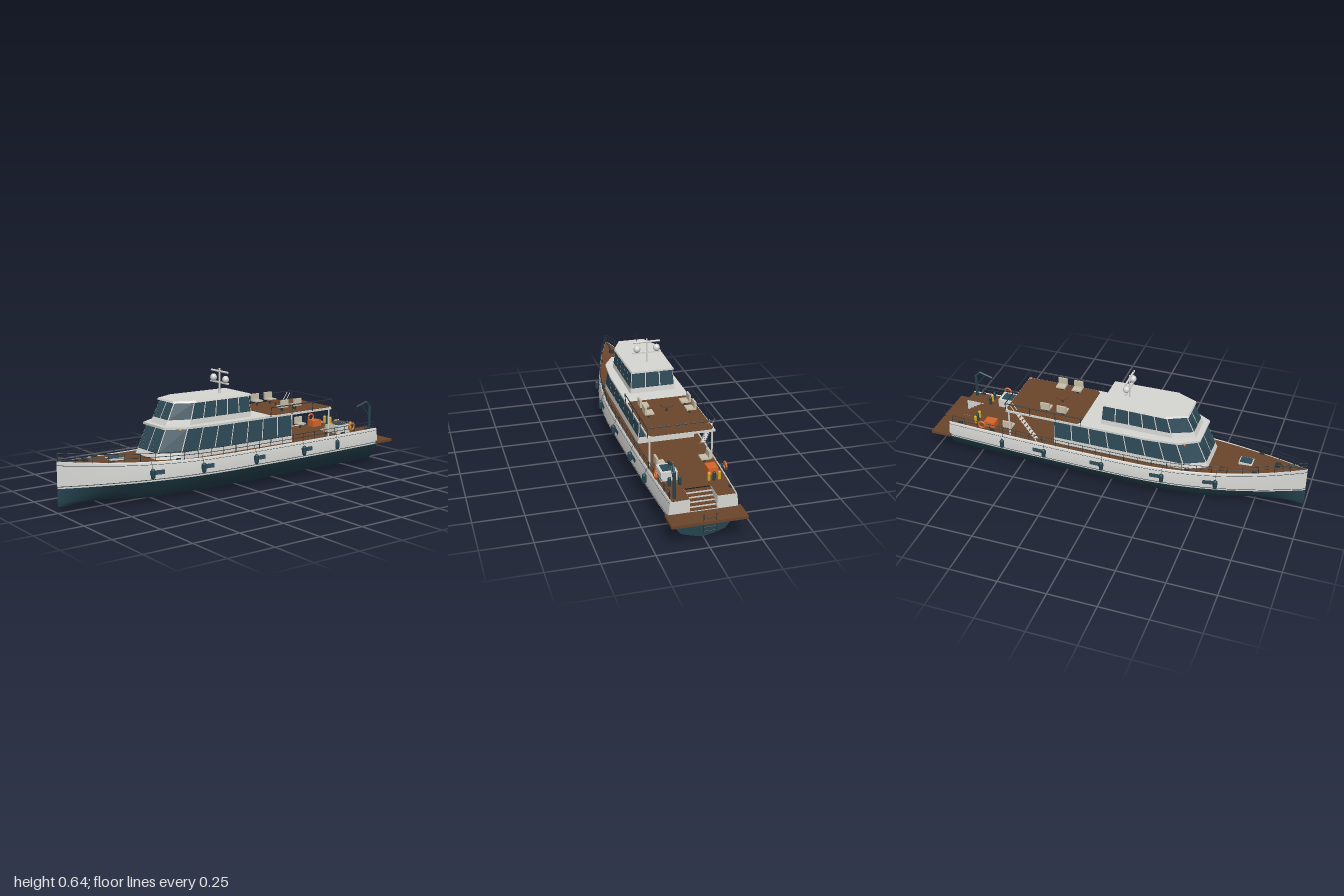
import * as THREE from 'three';

const mat = (name, color, side = THREE.FrontSide) => {
  const m = new THREE.MeshStandardMaterial({ color, side });
  m.name = name;
  return m;
};
const V = (x, y, z) => new THREE.Vector3(x, y, z);

// Hull lines: half breadth, sheer height and keel height along z
const breadth = z => z > 0.1 ? 0.195 * (1 - Math.pow((z - 0.1) / 0.9, 2.1)) + 0.0005 : 0.195 - 0.03 * (0.1 - z) ** 2;
const sheer = z => 0.205 + 0.045 * Math.max(0, (z - 0.2) / 0.8) ** 2;
const keel = z => 0.03 * THREE.MathUtils.smoothstep(z, 0.5, 0.78);
const WL = 0.118;
const topside = (z, y) => breadth(z) * (1 - 0.05 * Math.max(0, (y - WL) / (sheer(z) - WL)) ** 2);

export function createModel() {
  const boat = new THREE.Group();
  boat.name = 'motorYacht';
  const white = mat('white paint', 0xd6d6d3), teal = mat('dark teal', 0x25434f), glass = mat('window glass', 0x2d4b59);
  const teak = mat('teak brown', 0x6b452b), cream = mat('cream cushion', 0xc9c0aa), orange = mat('safety orange', 0xd4652a);
  const yellow = mat('yellow', 0xd2a526), metal = mat('dark rail metal', 0x2c363b);

  const add = (geo, m, name, x = 0, y = 0, z = 0) => {
    const mesh = new THREE.Mesh(geo, m);
    mesh.name = name;
    mesh.position.set(x, y, z);
    boat.add(mesh);
    return mesh;
  };
  const box = (w, h, d, m, name, x, y, z) => add(new THREE.BoxGeometry(w, h, d), m, name, x, y, z);
  const rod = (a, b, r, m, name) => {
    const d = b.clone().sub(a);
    const mesh = add(new THREE.CylinderGeometry(r, r, d.length(), 8), m, name);
    mesh.position.copy(a).addScaledVector(d, 0.5);
    mesh.quaternion.setFromUnitVectors(V(0, 1, 0), d.normalize());
  };
  const path = (pts, r, m, name) => pts.slice(1).forEach((p, i) => rod(pts[i], p, r, m, name));

  // Skin over rows of points
  const loft = (rows, m, name) => {
    const n = rows[0].length, idx = [];
    for (let j = 0; j < rows.length - 1; j++) for (let i = 0; i < n - 1; i++) {
      const a = j * n + i;
      idx.push(a, a + 1, a + n, a + 1, a + n + 1, a + n);
    }
    const g = new THREE.BufferGeometry().setFromPoints(rows.flat());
    g.setIndex(idx);
    g.computeVertexNormals();
    return add(g, m, name);
  };
  const stations = (z0, z1, n) => Array.from({ length: n + 1 }, (_, i) => z0 + (z1 - z0) * i / n);
  const bothSides = (zs, section, m, name) => [1, -1].forEach(s => loft(zs.map(z => {
    const row = section(z).map(([x, y]) => V(s * x, y, z));
    return s > 0 ? row : row.reverse();
  }), m, name));

  // Hull
  const bottom = z => {
    const k = keel(z), f = 1 - 0.25 * THREE.MathUtils.smoothstep(z, 0.3, 1);
    return [[0, 0], [0.33 * f, 0.1], [0.64 * f, 0.24], [0.87 * (1 + f) / 2, 0.64], [1, 1]]
      .map(([x, y]) => [x * breadth(z), k + y * (WL - k)]);
  };
  const side = z => {
    const s = sheer(z), w = breadth(z);
    return [...[0, 0.25, 0.5, 0.75, 0.93].map(t => WL + t * (s - WL)).map(y => [topside(z, y), y]),
      [0.94 * w, s], [0.92 * w, s], [0.91 * w, s - 0.005]];
  };
  const zs = stations(-0.9, 1, 60);
  bothSides(zs, bottom, teal, 'hullBottom');
  bothSides(zs, side, white, 'hullTopsides');
  bothSides(zs, z => [0.126, 0.129].map(y => [topside(z, y) + 0.0015, y]), metal, 'rubbingStripe');
  bothSides(zs, z => [0.84, 0.86].map(t => WL + t * (sheer(z) - WL)).map(y => [topside(z, y) + 0.001, y]), metal, 'sheerLine');

  // Decks and transom
  const deckY = z => sheer(z) - 0.004;
  loft(stations(-0.8, 1, 50).map(z => [1, -1].map(s => V(s * 0.92 * breadth(z), deckY(z), z))), teak, 'mainDeck');
  const wing = [-0.9, -0.8];
  loft(wing.map(z => [V(0.92 * breadth(z), deckY(z), z), V(0.065, deckY(z), z)]), teak, 'sternDeck');
  loft(wing.map(z => [V(-0.065, deckY(z), z), V(-0.92 * breadth(z), deckY(z), z)]), teak, 'sternDeck');
  const cap = (pts, m, name) => {
    const g = new THREE.ShapeGeometry(new THREE.Shape(pts.map(p => new THREE.Vector2(...p))));
    add(g.rotateY(Math.PI), m, name, 0, 0, -0.9);
  };
  const b = bottom(-0.9);
  cap([...b, ...b.slice(1).reverse().map(([x, y]) => [-x, y])], teal, 'transomBottom');
  for (const s of [1, -1]) {
    cap([[0.065, WL], ...side(-0.9), [0.065, deckY(-0.9)]].map(([x, y]) => [s * x, y]), white, 'transomWing');
    box(0.008, 0.083, 0.1, white, 'stairWall', s * 0.068, 0.159, -0.85);
  }
  for (let i = 0; i < 5; i++) {
    const y = 0.14 + i * 0.013, d = 0.1 - i * 0.02;
    box(0.13, y - WL, d, white, 'sternStep', 0, (y + WL) / 2, -0.8 - d / 2);
    box(0.13, 0.004, 0.021, teak, 'sternTread', 0, y + 0.002, -0.89 + i * 0.02);
  }
  box(0.36, 0.014, 0.11, teak, 'swimPlatform', 0, 0.128, -0.945);
  for (const x of [-0.03, 0.03]) rod(V(x, 0.075, -0.994), V(x, 0.17, -0.994), 0.002, metal, 'swimLadderRail');
  for (const y of [0.085, 0.105, 0.15]) rod(V(-0.03, y, -0.994), V(0.03, y, -0.994), 0.002, metal, 'swimLadderRung');

  // Tapered cabin block from half outlines, listed aft to front
  const outline = (half, y) => [...half, ...half.slice().reverse().map(([x, z]) => [-x, z])].map(([x, z]) => V(x, y, z));
  const polys = (tris, m, name) => {
    const g = new THREE.BufferGeometry().setFromPoints(tris);
    g.computeVertexNormals();
    return add(g, m, name);
  };
  const prism = (lo, y0, hi, y1, m, name) => {
    const A = outline(lo, y0), B = outline(hi, y1), t = [], n = A.length;
    for (let i = 0; i < n; i++) {
      const j = (i + 1) % n;
      t.push(A[j], A[i], B[i], A[j], B[i], B[j]);
      if (i > 0 && j > 0) t.push(B[0], B[j], B[i], A[0], A[i], A[j]);
    }
    polys(t, m, name);
    return [A, B];
  };
  // Window panes divided evenly along each cabin face
  const panes = ([A, B], counts, v0, v1, name) => counts.forEach((n, i) => {
    const j = (i + 1) % A.length, len = A[i].distanceTo(A[j]), gap = 0.005 / len;
    const out = B[i].clone().sub(A[i]).cross(A[j].clone().sub(A[i])).normalize();
    const at = (u, v, off) => A[i].clone().lerp(A[j], u).lerp(B[i].clone().lerp(B[j], u), v).addScaledVector(out, off);
    for (let k = 0; k < n; k++) {
      const u0 = k / n + gap, u1 = (k + 1) / n - gap;
      const quad = (a, c, d, e, o, m, nm) => {
        const p = [at(c, d, o), at(a, d, o), at(a, e, o), at(c, e, o)];
        polys([p[0], p[1], p[2], p[0], p[2], p[3]], m, nm);
      };
      quad(u0 - gap * 0.4, u1 + gap * 0.4, v0 - 0.015, v1 + 0.015, 0.001, metal, 'windowSeal');
      quad(u0, u1, v0, v1, 0.002, glass, name);
      if (i === 2) rod(at(u0 + 0.2, v0, 0.004), at(u0 + 0.34, v0 + 0.4, 0.004), 0.0012, metal, 'wiper');
    }
  });
  const saloon = prism([[0.145, -0.3], [0.145, 0.41], [0.092, 0.52]], 0.198, [[0.137, -0.3], [0.137, 0.355], [0.086, 0.45]], 0.352, white, 'saloon');
  panes(saloon, [7, 1, 2, 1, 7, 3], 0.26, 0.95, 'saloonWindow');
  const eaves = [[0.165, -0.56], [0.165, 0.2], [0.15, 0.37], [0.092, 0.468]];
  prism(eaves, 0.35, eaves, 0.361, white, 'saloonRoof');
  const bridge = prism([[0.118, -0.05], [0.118, 0.33], [0.07, 0.44]], 0.36, [[0.108, -0.04], [0.108, 0.295], [0.064, 0.385]], 0.471, white, 'wheelhouse');
  panes(bridge, [5, 1, 2, 1, 5, 3], 0.27, 0.94, 'wheelhouseWindow');
  const lid = [[0.113, -0.052], [0.119, 0.295], [0.07, 0.398]];
  prism(lid, 0.47, lid.map(([x, z]) => [x * 0.97, z * 0.99]), 0.479, white, 'wheelhouseRoof');

  // Flybridge deck, furniture and rails
  prism([[0.145, -0.557], [0.16, -0.54], [0.16, -0.165], [0.145, -0.15]], 0.36, [[0.145, -0.557], [0.16, -0.54], [0.16, -0.165], [0.145, -0.15]], 0.364, teak, 'flybridgeDeck');
  const chair = (x, y, z, s) => {
    box(0.045, 0.008, 0.05, cream, 'chairSeat', x, y + 0.026, z);
    box(0.01, 0.038, 0.05, cream, 'chairBack', x + s * 0.02, y + 0.043, z);
    rod(V(x, y, z), V(x, y + 0.024, z), 0.006, metal, 'chairLeg');
  };
  for (const s of [1, -1]) {
    for (const z of [-0.35, -0.26]) chair(s * 0.105, 0.363, z, s);
    chair(s * 0.11, 0.2, -0.57, s);
    rod(V(s * 0.155, 0.2, -0.545), V(s * 0.155, 0.35, -0.545), 0.005, white, 'roofPost');
    for (const z of [-0.14, -0.28, -0.42, -0.555]) rod(V(s * 0.165, 0.355, z), V(s * 0.17, 0.405, z), 0.002, metal, 'flybridgeRailPost');
    add(new THREE.SphereGeometry(0.005, 10, 8), s > 0 ? yellow : orange, 'navigationLight', s * 0.138, 0.347, 0.4);
  }
  path([V(0.17, 0.405, -0.14), V(0.17, 0.405, -0.555), V(-0.17, 0.405, -0.555), V(-0.17, 0.405, -0.14)], 0.0025, metal, 'flybridgeRail');
  rod(V(0, 0.363, -0.305), V(0, 0.395, -0.305), 0.005, metal, 'tableLeg');
  add(new THREE.CylinderGeometry(0.032, 0.032, 0.005, 24), teak, 'tableTop', 0, 0.397, -0.305);

  // Ladder from aft deck to flybridge
  for (const x of [-0.172, -0.148]) rod(V(x, 0.202, -0.385), V(x, 0.4, -0.525), 0.002, white, 'ladderRail');
  for (let i = 1; i < 10; i++) box(0.024, 0.003, 0.014, white, 'ladderTread', -0.16, 0.202 + i * 0.0175, -0.385 - i * 0.0124);

  // Mast with radar bar, domes and whips
  rod(V(0, 0.475, 0.065), V(0, 0.606, 0.065), 0.0045, white, 'mast');
  box(0.15, 0.007, 0.012, white, 'mastSpreader', 0, 0.534, 0.065);
  rod(V(-0.07, 0.591, 0.065), V(0.07, 0.591, 0.065), 0.0055, white, 'radarBar');
  for (const x of [-0.052, 0.052]) {
    add(new THREE.SphereGeometry(0.0175, 20, 14), white, 'satelliteDome', x, 0.554, 0.065).scale.y = 1.1;
    rod(V(x, 0.59, 0.065), V(x, 0.639, 0.065), 0.001, metal, 'whipAntenna');
  }

  // Deck rails, fenders and hull windows on both sides
  for (const s of [1, -1]) {
    const edge = (z, h) => V(s * 0.93 * breadth(z), sheer(z) + h, z);
    const rz = stations(-0.88, 0.995, 25);
    for (const h of [0.021, 0.04]) path(rz.map(z => edge(z, h)), 0.0015, metal, 'deckRail');
    rz.forEach(z => rod(edge(z, -0.003), edge(z, 0.04), 0.0015, metal, 'deckRailPost'));
    for (const z of [0.57, 0.3, -0.02, -0.34, -0.58]) {
      const x = s * (topside(z, 0.16) + 0.011);
      add(new THREE.CapsuleGeometry(0.011, 0.03, 4, 12), teal, 'fender', x, 0.158, z);
      rod(V(x, 0.18, z), edge(z, 0.021), 0.001, metal, 'fenderRope');
      if (z < -0.5) continue;
      const row = q => [0.15, 0.172].map(y => V(s * (topside(q, y) + 0.002), y, q));
      loft([z - 0.065, z - 0.03, z + 0.01].map(q => s > 0 ? row(q) : row(q).reverse()), glass, 'hullWindow');
    }
    add(new THREE.TorusGeometry(0.018, 0.005, 8, 24), orange, 'lifeRing', s * 0.169, 0.238, -0.7).rotation.y = Math.PI / 2;
    for (const z of [0.75, 0.42, -0.65, -0.84]) box(0.008, 0.008, 0.025, metal, 'cleat', s * 0.86 * breadth(z), sheer(z) + 0.001, z);
  }

  // Foredeck hatch and anchor gear
  box(0.056, 0.012, 0.07, white, 'hatchFrame', 0, sheer(0.69), 0.69);
  box(0.046, 0.003, 0.06, glass, 'hatchGlass', 0, sheer(0.69) + 0.0075, 0.69);
  box(0.025, 0.016, 0.025, metal, 'windlass', 0, sheer(0.85) + 0.004, 0.85);
  rod(V(0, sheer(0.85) + 0.004, 0.85), V(0, 0.252, 0.99), 0.004, metal, 'anchorChain');

  // Aft deck gear
  box(0.08, 0.045, 0.09, white, 'deckLocker', 0.105, 0.224, -0.665);
  box(0.056, 0.004, 0.06, glass, 'lockerLid', 0.105, 0.248, -0.665);
  box(0.05, 0.034, 0.06, orange, 'raftCase', -0.11, 0.218, -0.675);
  [-0.12, -0.095, -0.07, 0.07, 0.095, 0.12].forEach((x, i) =>
    add(new THREE.CapsuleGeometry(0.008, 0.032, 4, 10), i % 2 ? teal : yellow, 'divingTank', x, 0.225, -0.76));
  rod(V(0.13, 0.2, -0.87), V(0.13, 0.33, -0.87), 0.008, teal, 'davitPost');
  path([V(0.13, 0.325, -0.87), V(0.13, 0.355, -0.845), V(0.13, 0.333, -0.77)], 0.006, teal, 'davitArm');
  rod(V(0.13, 0.27, -0.87), V(0.13, 0.343, -0.81), 0.003, teal, 'davitRam');
  rod(V(0.13, 0.335, -0.772), V(0.13, 0.305, -0.772), 0.0015, metal, 'davitCable');

  return boat;
}
